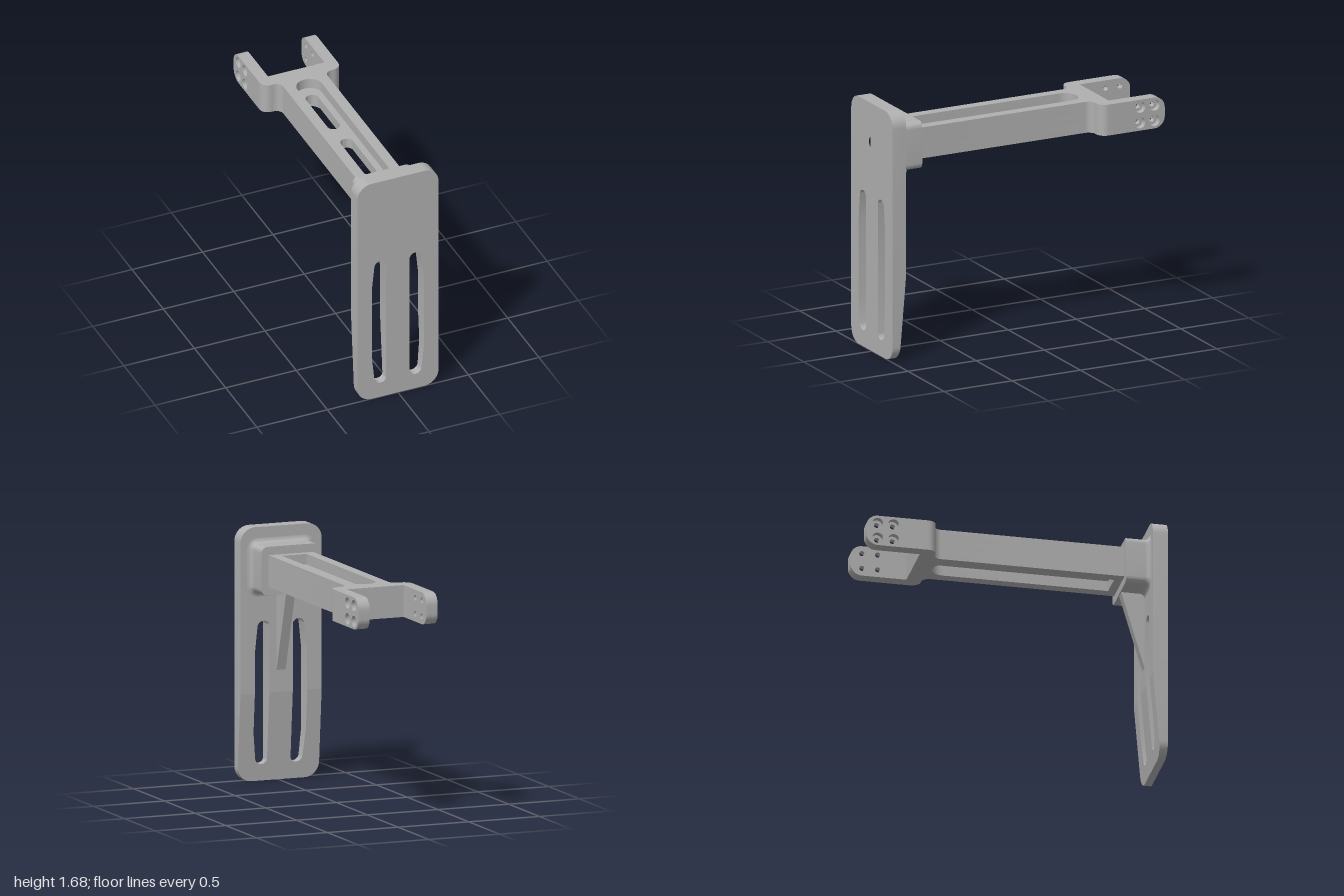
import * as THREE from 'three';
import { toCreasedNormals } from 'three/addons/utils/BufferGeometryUtils.js';

// Outline through corners [x, y, radius], each corner rounded by a near-circular curve
function outline(corners, Type = THREE.Shape) {
  const path = new Type();
  const n = corners.length;
  corners.forEach(([x, y, r = 0], i) => {
    const p = new THREE.Vector2(x, y);
    const toward = (c, d) => p.clone().add(new THREE.Vector2(c[0] - x, c[1] - y).setLength(d));
    const prev = corners[(i + n - 1) % n], next = corners[(i + 1) % n];
    const a = r ? toward(prev, r) : p, b = r ? toward(next, r) : p;
    if (i === 0) path.moveTo(a.x, a.y); else path.lineTo(a.x, a.y);
    if (r) {
      const c = a.clone().lerp(p, 0.5523), d = b.clone().lerp(p, 0.5523);
      path.bezierCurveTo(c.x, c.y, d.x, d.y, b.x, b.y);
    }
  });
  path.closePath();
  return path;
}

const rect = (x0, y0, x1, y1, r = 0, Type) =>
  outline([[x0, y0, r], [x1, y0, r], [x1, y1, r], [x0, y1, r]], Type);
const circle = (x, y, r) => new THREE.Path().absarc(x, y, r, 0, Math.PI * 2, true);

function extrude(shape, depth, holes = []) {
  shape.holes.push(...holes);
  return new THREE.ExtrudeGeometry(shape, { depth, bevelEnabled: false, curveSegments: 10 });
}

export function createModel() {
  const group = new THREE.Group();
  const grey = new THREE.MeshStandardMaterial({ color: 0xb0b0b0 });
  grey.name = 'grey';
  const add = (name, geometry) => {
    const mesh = new THREE.Mesh(toCreasedNormals(geometry, 0.5), grey);
    mesh.name = name;
    group.add(mesh);
  };

  // Mounting plate: two comb halves that meet halfway along the slots
  const mid = 0.585, W = 0.287;
  const plateHalf = (end, slotEnd, bend, holes) => {
    const slot = [[0.185, mid], [0.185, bend], [0.163, slotEnd, 0.038], [0.083, slotEnd, 0.038], [0.083, mid]];
    const mirrored = slot.map(([x, y, r]) => [-x, y, r]).reverse();
    return extrude(outline([[-W, mid], [-W, end, 0.1], [W, end, 0.1], [W, mid], ...slot, ...mirrored]), 0.1, holes);
  };
  add('plateTop', plateHalf(1.68, 1.06, 0.85, [circle(0, 1.415, 0.04)]).translate(0, 0, 0.9));

  // Lower half thins toward its foot on the back
  const lower = plateHalf(0, 0.11, 0.32).translate(0, 0, 0.9);
  const pos = lower.attributes.position;
  for (let i = 0; i < pos.count; i++) {
    if (pos.getZ(i) < 0.95) pos.setZ(i, 0.9 + 0.05 * (mid - pos.getY(i)) / mid);
  }
  add('plateBottom', lower);

  // Collar with screw hole
  const collar = (grow) => rect(-0.207 - grow, 1.255 - grow, 0.207 + grow, 1.575 + grow, 0.04 + grow);
  add('collar', extrude(collar(0), 0.16, [circle(0, 1.415, 0.022)]).translate(0, 0, 0.74));

  // Concave fillet where the collar meets the plate
  const R = 0.033, steps = 6;
  const rings = Array.from({ length: steps + 1 }, (_, k) => {
    const t = (k / steps) * Math.PI / 2;
    const z = 0.9 - R + R * Math.sin(t);
    return collar(R * (1 - Math.cos(t))).getPoints(8).map((p) => [p.x, p.y, z]);
  });
  const verts = [];
  for (let k = 0; k < steps; k++) {
    const n = rings[k].length;
    for (let i = 0; i < n; i++) {
      const j = (i + 1) % n;
      const a = rings[k][i], b = rings[k][j], c = rings[k + 1][j], d = rings[k + 1][i];
      verts.push(...a, ...b, ...c, ...a, ...c, ...d);
    }
  }
  const fillet = new THREE.BufferGeometry();
  fillet.setAttribute('position', new THREE.Float32BufferAttribute(verts, 3));
  add('collarFillet', fillet);

  // Arm and fork base: flange, slotted web, flange (drawn in x and -z)
  const armOutline = () => outline([
    [-0.157, -0.74], [0.157, -0.74], [0.157, 0.53, 0.05], [0.28, 0.53, 0.06],
    [0.28, 0.63], [-0.28, 0.63], [-0.28, 0.53, 0.06], [-0.157, 0.53, 0.05],
  ]);
  const pocket = () => outline([[-0.087, -0.685], [0.087, -0.685], [0.087, 0.5, 0.086], [-0.087, 0.5, 0.086]], THREE.Path);
  const slots = () => [[-0.59, -0.14], [-0.01, 0.415]].map(([a, b]) => rect(-0.043, a, 0.043, b, 0.0425, THREE.Path));
  const layer = (name, y0, y1, holes) =>
    add(name, extrude(armOutline(), y1 - y0, holes).rotateX(-Math.PI / 2).translate(0, y0, 0));
  layer('armBottomFlange', 1.31, 1.38, [pocket()]);
  layer('armWeb', 1.38, 1.45, slots());
  layer('armTopFlange', 1.45, 1.52, [pocket()]);

  // Fork prongs with counterbored bolt holes opening outward (drawn in -z and y)
  const alongX = (geometry, x0) => geometry.rotateY(Math.PI / 2).translate(x0, 0, 0);
  const bolts = (r) => [0.82, 0.925].flatMap((a) => [1.362, 1.467].map((y) => circle(a, y, r)));
  const prong = () => outline([[0.63, 1.31], [1, 1.31, 0.075], [1, 1.52, 0.075], [0.63, 1.52]]);
  for (const [side, label] of [[1, 'left'], [-1, 'right']]) {
    const slab = (name, x, r) => add(label + name, alongX(extrude(prong(), 0.04, bolts(r)), side * x - 0.02));
    slab('ProngInner', 0.22, 0.018);
    slab('ProngOuter', 0.26, 0.037);
  }

  // Triangular rib under the collar
  const rib = outline([[-0.9, 0.73], [-0.745, 1.256], [-0.9, 1.256]]);
  add('supportRib', alongX(extrude(rib, 0.064), -0.032));

  return group;
}
